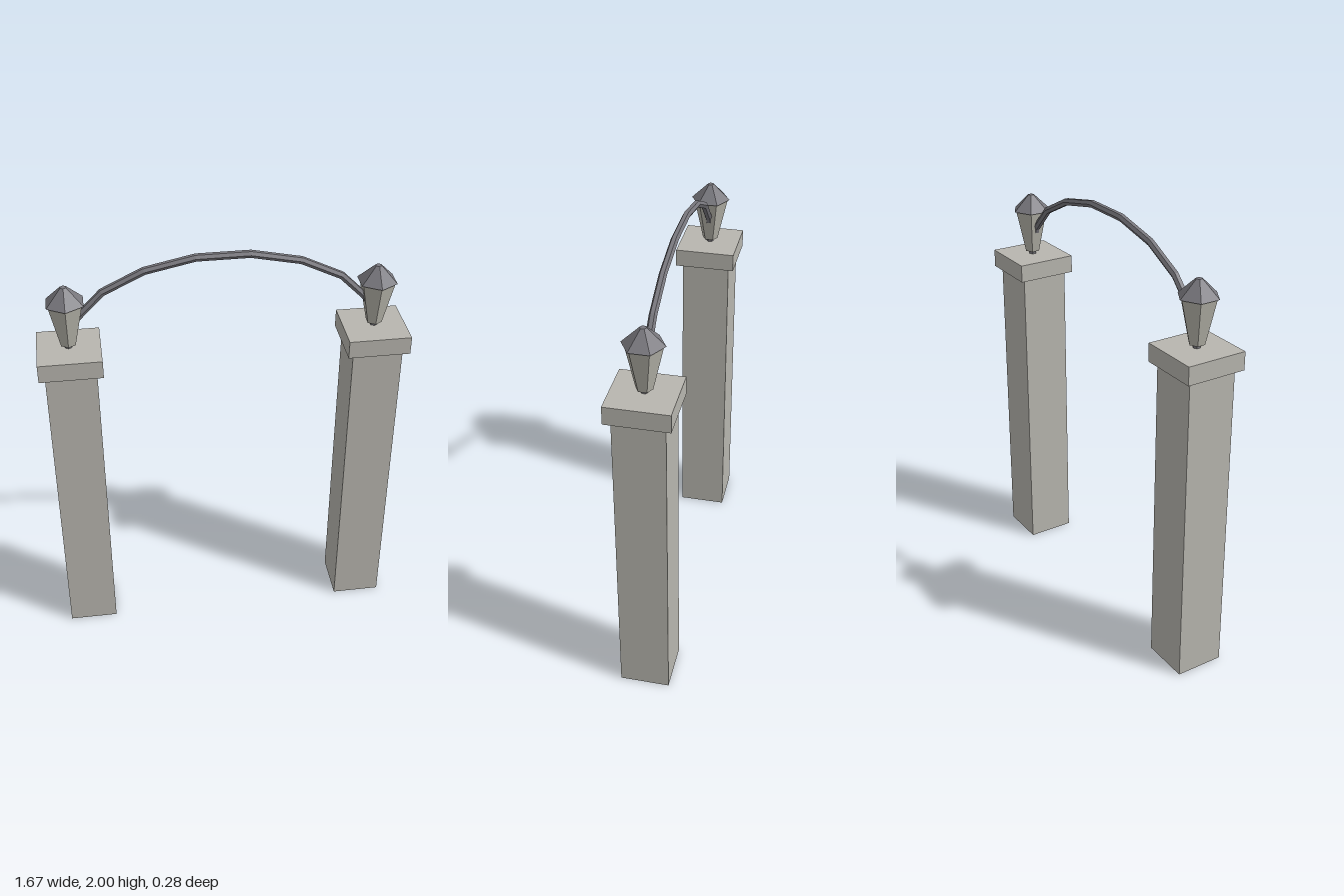
import * as THREE from 'three';

const material = (name, color) => {
  const m = new THREE.MeshStandardMaterial({ color, flatShading: true });
  m.name = name;
  return m;
};

// Half ellipse sampled at even angles
class ArchCurve extends THREE.Curve {
  getUtoTmapping(u) { return u; }
  getPoint(t, target = new THREE.Vector3()) {
    const a = Math.PI * (1 - t);
    return target.set(0.69 * Math.cos(a), 1.591 + 0.4 * Math.sin(a), 0);
  }
  getTangent(t, target = new THREE.Vector3()) {
    const a = Math.PI * (1 - t);
    return target.set(0.69 * Math.sin(a), -0.4 * Math.cos(a), 0).normalize();
  }
}

export function createModel() {
  const stone = material('stone', 0xb8b6af);
  const glass = material('lantern glass', 0xb8b6ac);
  const metal = material('dark metal', 0x79787e);

  const add = (parent, name, geometry, mat, y = 0) => {
    const mesh = new THREE.Mesh(geometry, mat);
    mesh.name = name;
    mesh.position.y = y;
    parent.add(mesh);
  };
  // Six-sided tapered piece between two heights
  const hex = (parent, name, rTop, rBottom, y0, y1, mat) =>
    add(parent, name, new THREE.CylinderGeometry(rTop, rBottom, y1 - y0, 6), mat, (y0 + y1) / 2);

  const model = new THREE.Group();
  model.name = 'gateway';

  // Two pillars, each with a cap and a lantern
  for (const side of [1, -1]) {
    const post = new THREE.Group();
    post.name = side > 0 ? 'leftPost' : 'rightPost';
    post.position.x = side * 0.6925;
    add(post, 'pillar', new THREE.BoxGeometry(0.23, 1.5, 0.23), stone, 0.75);
    add(post, 'cap', new THREE.BoxGeometry(0.285, 0.085, 0.285), stone, 1.5425);
    hex(post, 'lanternFoot', 0.018, 0.018, 1.585, 1.602, metal);
    hex(post, 'lanternBody', 0.084, 0.037, 1.602, 1.81, glass);
    hex(post, 'lanternRoof', 0.015, 0.093, 1.81, 1.886, metal);
    model.add(post);
  }

  // Iron arch between the lanterns
  add(model, 'arch', new THREE.TubeGeometry(new ArchCurve(), 9, 0.0175, 6), metal);

  return model;
}
